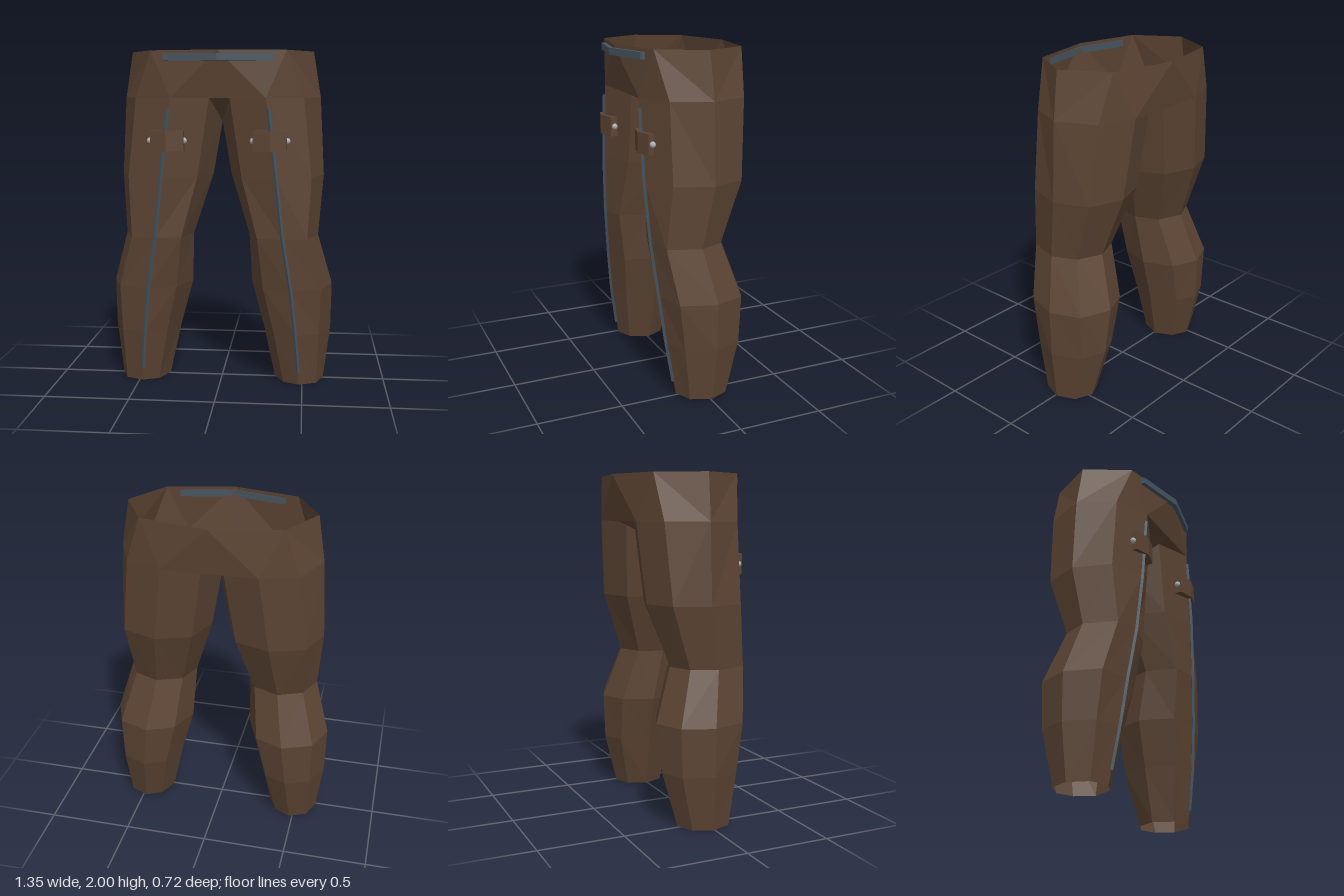
import * as THREE from 'three';

const cloth = new THREE.MeshStandardMaterial({ color: 0x5c4433, flatShading: true, side: THREE.DoubleSide });
const steel = new THREE.MeshStandardMaterial({ color: 0x46545f, flatShading: true, side: THREE.DoubleSide });
const silver = new THREE.MeshStandardMaterial({ color: 0xa9b0b5 });

// Leg rings: y, x (inner, inner diagonal, middle, outer diagonal, outer),
// z (front, front diagonal, side, back diagonal, back)
const rows = [
  [0, [0.33, 0.385, 0.48, 0.585, 0.63], [0.155, 0.11, -0.01, -0.12, -0.165]],
  [0.32, [0.26, 0.325, 0.455, 0.6, 0.67], [0.205, 0.15, -0.02, -0.19, -0.25]],
  [0.6, [0.185, 0.26, 0.425, 0.605, 0.675], [0.235, 0.185, -0.02, -0.2, -0.27]],
  [0.91, [0.17, 0.225, 0.375, 0.52, 0.585], [0.265, 0.23, 0.04, -0.105, -0.165]],
  [1.27, [0.055, 0.13, 0.335, 0.54, 0.615], [0.285, 0.2, -0.02, -0.22, -0.29]],
  [1.73, [0, 0.06, 0.275, 0.49, 0.59], [0.29, 0.2, -0.02, -0.25, -0.325]],
];

// Eight points: outer, outer front, front, inner front, inner, inner back, back, outer back
const rings = rows.map(([y, [i, id, m, od, o], [f, fd, s, bd, b]]) => [
  [o, y, s], [od, y, fd], [m, y, f], [id, y, fd],
  [i, y, s], [id, y, bd], [m, y, b], [od, y, bd],
]);
const top = rings[5];
top[4][1] = 1.59; // crotch sits lower than the hip line

function mesh(name, geometry, material) {
  const m = new THREE.Mesh(geometry, material);
  m.name = name;
  return m;
}

// Polygons (lists of points) fanned into triangles
function polygons(faces) {
  const pos = [];
  for (const f of faces)
    for (let k = 1; k < f.length - 1; k++) pos.push(...f[0], ...f[k], ...f[k + 1]);
  const g = new THREE.BufferGeometry();
  g.setAttribute('position', new THREE.Float32BufferAttribute(pos, 3));
  g.computeVertexNormals();
  return g;
}

// Plate with an outline in x/z, extruded downwards from a height
function plate(points, y, height) {
  const shape = new THREE.Shape(points.map(([x, z]) => new THREE.Vector2(x, z)));
  const g = new THREE.ExtrudeGeometry(shape, { depth: height, bevelEnabled: false });
  return g.rotateX(Math.PI / 2).translate(0, y, 0);
}

function createSide(label) {
  const side = new THREE.Group();
  side.name = label + 'Side';

  // Leg
  const legFaces = [];
  for (let r = 0; r < rings.length - 1; r++)
    for (let k = 0; k < 8; k++) {
      const n = (k + 1) % 8;
      legFaces.push([rings[r][k], rings[r + 1][k], rings[r + 1][n], rings[r][n]]);
    }
  side.add(mesh('leg', polygons(legFaces), cloth));

  // Half of the hip shell
  const [outer, oFront, front, iFront, inner, iBack, back, oBack] = top;
  const wOuter = [0.545, 2, -0.01], wFront = [0.39, 2, 0.25], wBack = [0.4, 2, -0.275];
  const wFrontMid = [0, 2, 0.335], wBackMid = [0, 2, -0.36];
  const frontMid = [0, 1.73, 0.29], backMid = [0, 1.73, -0.325];
  side.add(mesh('hip', polygons([
    [outer, wOuter, wFront, oFront],
    [oFront, wFront, front],
    [front, wFront, wFrontMid],
    [front, wFrontMid, frontMid],
    [outer, oBack, wBack, wOuter],
    [oBack, back, wBack],
    [back, wBackMid, wBack],
    [back, backMid, wBackMid],
  ]), cloth));

  // Underside between the legs
  side.add(mesh('crotch', polygons([
    [frontMid, inner, iFront], [frontMid, iFront, front],
    [backMid, iBack, inner], [backMid, back, iBack],
  ]), cloth));

  // Metal strip down the front crease
  const crease = new THREE.CurvePath();
  const pts = [[0.475, 0.08, 0.168], [0.455, 0.32, 0.205], [0.425, 0.6, 0.235],
    [0.375, 0.91, 0.265], [0.335, 1.27, 0.285], [0.29, 1.67, 0.289]]
    .map((p) => new THREE.Vector3(...p));
  for (let k = 0; k < pts.length - 1; k++) crease.add(new THREE.LineCurve3(pts[k], pts[k + 1]));
  side.add(mesh('frontStrip', new THREE.TubeGeometry(crease, 30, 0.012, 4), steel));

  // Thigh strap plate with a stud at each end
  side.add(mesh('strapPlate', plate(
    [[0.2, 0.285], [0.3, 0.312], [0.395, 0.285], [0.395, 0.24], [0.3, 0.27], [0.2, 0.235]], 1.545, 0.12), cloth));
  for (const x of [0.2, 0.398]) {
    const stud = mesh('stud', new THREE.SphereGeometry(0.018, 12, 8), silver);
    stud.position.set(x, 1.485, 0.26);
    side.add(stud);
  }
  return side;
}

export function createModel() {
  const model = new THREE.Group();
  model.name = 'trousers';
  const left = createSide('left');
  const right = createSide('right');
  right.scale.x = -1;
  model.add(left, right);

  // Waist bar
  model.add(mesh('waistBar', plate(
    [[-0.315, 0.295], [0, 0.362], [0.315, 0.295], [0.315, 0.265], [0, 0.33], [-0.315, 0.265]], 1.98, 0.04), steel));
  return model;
}
